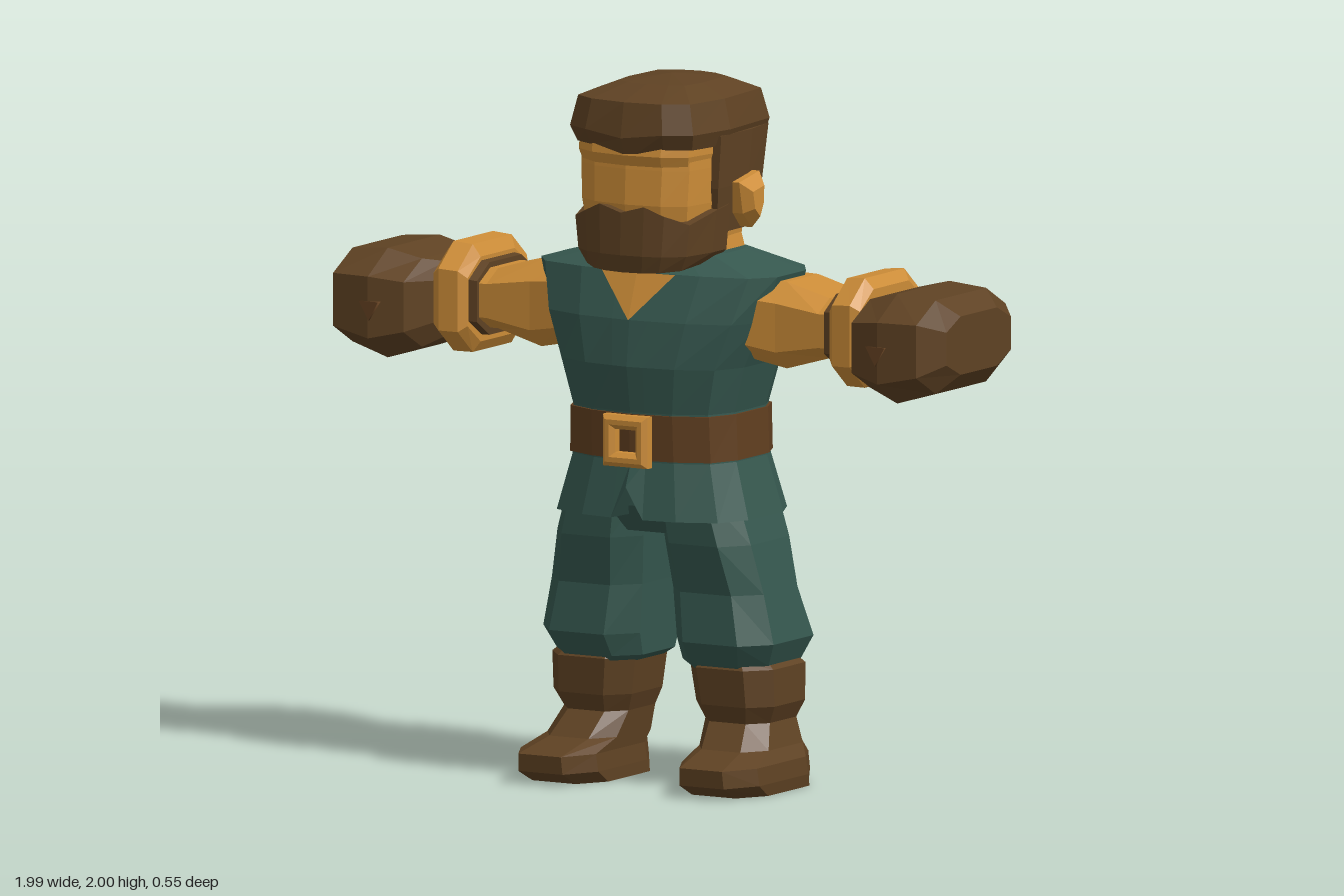
import * as THREE from 'three';

const mat = (name, color) => Object.assign(new THREE.MeshStandardMaterial({ color }), { name });

// Closed faceted solid through a list of rings (equal point counts); winding is fixed by signed volume
function loft(rings, endLift = 0) {
  const tris = [], n = rings[0].length;
  for (let i = 0; i + 1 < rings.length; i++) {
    for (let j = 0; j < n; j++) {
      const k = (j + 1) % n, a = rings[i][j], b = rings[i][k], c = rings[i + 1][k], d = rings[i + 1][j];
      tris.push([a, b, c], [a, c, d]);
    }
  }
  const mid = r => r.reduce((s, p) => s.add(p), new THREE.Vector3()).divideScalar(n);
  const first = rings[0], last = rings[rings.length - 1], m0 = mid(first), m1 = mid(last);
  m1.y += endLift;
  for (let j = 0; j < n; j++) {
    const k = (j + 1) % n;
    tris.push([m0, first[k], first[j]], [m1, last[j], last[k]]);
  }
  const volume = tris.reduce((v, [a, b, c]) => v + a.dot(b.clone().cross(c)), 0);
  if (volume < 0) tris.forEach(t => t.reverse());
  const g = new THREE.BufferGeometry().setFromPoints(tris.flat());
  g.computeVertexNormals();
  return g;
}

const V = (x, y, z) => new THREE.Vector3(x, y, z);

// Left-right symmetric horizontal ring from a half outline of [x, z] fractions
function sym(half, y, rx, zf, zb) {
  const side = s => half.map(([x, z]) => V(s * x * rx, y, z >= 0 ? z * zf : -z * zb));
  return [...side(1), ...side(-1).slice(1, -1).reverse()];
}

// Squarish n-sided ring of [u, v] filling a rectangle
function oval(n, u0, u1, v0, v1, p = 0.65) {
  const pw = c => Math.sign(c) * Math.abs(c) ** p;
  return Array.from({ length: n }, (_, i) => {
    const a = ((i + 0.5) / n) * Math.PI * 2;
    const m = Math.cos(Math.PI / n) ** p;
    return [(u0 + u1) / 2 + (pw(Math.cos(a)) / m) * (u1 - u0) / 2,
      (v0 + v1) / 2 + (pw(Math.sin(a)) / m) * (v1 - v0) / 2];
  });
}
// Rows are [y, x0, x1, z0, z1] for upright parts and [x, y0, y1, z0, z1] for arm parts
const upright = (rows, s = 1, n = 8) =>
  loft(rows.map(([y, ...r]) => oval(n, ...r).map(([x, z]) => V(s * x, y, z))));
const sideways = (rows, s = 1, n = 8) =>
  loft(rows.map(([x, ...r]) => oval(n, ...r).map(([y, z]) => V(s * x, y, z))));

export function createModel() {
  const skin = mat('skin', 0xcd8d38), cloth = mat('cloth', 0x36584f);
  const hair = mat('hairAndLeather', 0x5f4223), strap = mat('belt', 0x613f20);
  const model = new THREE.Group();
  const add = (name, geometry, material, parent = model) => {
    const mesh = new THREE.Mesh(geometry, material);
    mesh.name = name;
    parent.add(mesh);
    return mesh;
  };

  // Tunic, with a notch in the front hem
  const body = [[0, 1], [0.17, 0.98], [0.5, 0.93], [0.86, 0.74], [1, 0.35], [1, -0.4], [0.86, -0.75], [0.5, -0.95], [0, -1]];
  const tunic = [
    [0.77, 0.305, 0.245, -0.26], [0.93, 0.26, 0.215, -0.225], [1.07, 0.255, 0.22, -0.225], [1.2, 0.29, 0.24, -0.25],
    [1.33, 0.345, 0.225, -0.27], [1.46, 0.385, 0.175, -0.235], [1.51, 0.2, 0.09, -0.17],
  ].map(r => sym(body, ...r));
  tunic[0][0].y = 0.86;
  add('tunic', loft(tunic), cloth);
  add('belt', loft([[0.935, 0.266, 0.222, -0.232], [1.065, 0.262, 0.227, -0.232]].map(r => sym(body, ...r))), strap);

  // Open neckline following the chest
  const neckline = new THREE.BufferGeometry().setFromPoints([
    V(0, 1.33, 0.232), V(0.12, 1.46, 0.176), V(0, 1.46, 0.184),
    V(0, 1.33, 0.232), V(0, 1.46, 0.184), V(-0.12, 1.46, 0.176)]);
  neckline.computeVertexNormals();
  add('neckline', neckline, skin);

  // Square buckle frame
  const square = (C, r) => new C([[-r, -r], [r, -r], [r, r], [-r, r]].map(p => new THREE.Vector2(...p)));
  const frame = square(THREE.Shape, 0.06);
  frame.holes.push(square(THREE.Path, 0.046));
  add('buckle', new THREE.ExtrudeGeometry(frame, {
    depth: 0.025, bevelEnabled: true, bevelSize: 0.013, bevelThickness: 0.013, bevelSegments: 1,
  }), skin).position.set(0, 0.99, 0.222);

  // Neck and face
  add('neck', upright([[1.38, -0.17, 0.17, -0.19, 0.17], [1.5, -0.17, 0.17, -0.2, 0.15], [1.6, -0.15, 0.15, -0.18, 0.14]]), skin);
  const skull = [[0, 1], [0.55, 0.94], [0.88, 0.78], [1, 0.2], [0.92, -0.74], [0.48, -0.93], [0, -1]];
  add('face', loft([
    [1.55, 0.18, 0.23, -0.15], [1.66, 0.195, 0.25, -0.15], [1.76, 0.2, 0.245, -0.15], [1.88, 0.2, 0.235, -0.15],
  ].map(r => sym(skull, ...r))), skin);
  // Brow ridge under the fringe
  add('brow', loft([[1.77, 0.195, 0.246, -0.1], [1.8, 0.203, 0.258, -0.1], [1.84, 0.203, 0.25, -0.1]]
    .map(r => sym(skull, ...r))), skin);

  // Hair: cap with a fringe, then the back and sides
  const cap = [
    [1.82, 0.212, 0.25, -0.245], [1.865, 0.228, 0.272, -0.255], [1.95, 0.207, 0.255, -0.235], [1.985, 0.12, 0.13, -0.16],
  ].map(r => sym(skull, ...r));
  cap[0][0].y = 1.78;
  cap[1][0].y = 1.85;
  add('hairCap', loft(cap, 0.015), hair);
  const backHair = [[0, 1], [0.7, 1], [1, 0.95], [1, -0.3], [0.92, -0.76], [0.48, -0.93], [0, -1]];
  add('backHair', loft([[1.57, 0.196, 0.08, -0.205], [1.7, 0.212, 0.1, -0.228], [1.85, 0.222, 0.1, -0.252]]
    .map(r => sym(backHair, ...r))), hair);

  // Beard, its top edge waved into a moustache
  const jaw = [[0, 1], [0.35, 0.98], [0.62, 0.92], [0.9, 0.76], [1, 0.35], [1, 0.08], [0, 0.08]];
  const beard = [[1.47, 0.17, 0.262, 0], [1.52, 0.195, 0.275, 0], [1.62, 0.207, 0.272, 0]].map(r => sym(jaw, ...r));
  const wave = [0.02, 0.04, 0.015, -0.01, 0.02, 0.03, 0.03];
  beard[2].forEach((p, i) => { p.y += wave[Math.min(i, 12 - i)]; });
  beard[0].forEach(p => { p.y += 0.03 * (1 - p.z / 0.262); });
  add('beard', loft(beard), hair);

  // Hips joining the trouser legs
  add('hips', upright([[0.72, -0.12, 0.12, -0.17, 0.13], [0.8, -0.26, 0.26, -0.21, 0.19], [0.94, -0.24, 0.24, -0.2, 0.19]]), cloth);

  for (const s of [1, -1]) {
    const side = s > 0 ? 'left' : 'right';
    const limb = (name, geometry, material) => add(side + name, geometry, material);

    // Ear
    const ear = [[1.73, -0.09], [1.71, 0.02], [1.62, 0.0], [1.575, -0.05], [1.64, -0.085]];
    limb('Ear', loft([[0.18, 1], [0.235, 1], [0.265, 0.55]].map(([x, k]) =>
      ear.map(([y, z]) => V(s * x, 1.65 + (y - 1.65) * k, -0.04 + (z + 0.04) * k)))), skin);

    // Bare arm, strap and cuff
    limb('Arm', sideways([
      [0.3, 1.22, 1.45, -0.19, 0.11], [0.4, 1.2, 1.445, -0.2, 0.1], [0.54, 1.24, 1.41, -0.19, 0.1],
      [0.62, 1.24, 1.41, -0.18, 0.1], [0.74, 1.22, 1.42, -0.18, 0.11]], s), skin);
    limb('Strap', sideways([[0.565, 1.22, 1.425, -0.2, 0.11], [0.6, 1.22, 1.43, -0.205, 0.115]], s), hair);
    limb('Cuff', sideways([
      [0.59, 1.2, 1.44, -0.21, 0.12], [0.61, 1.17, 1.475, -0.235, 0.14],
      [0.67, 1.17, 1.48, -0.235, 0.145], [0.695, 1.2, 1.45, -0.21, 0.13]], s), skin);

    // Gloved fist
    limb('Fist', sideways([
      [0.695, 1.21, 1.42, -0.2, 0.13], [0.73, 1.185, 1.435, -0.23, 0.235], [0.83, 1.15, 1.46, -0.24, 0.262],
      [0.95, 1.185, 1.45, -0.235, 0.25], [0.995, 1.235, 1.4, -0.19, 0.16]], s), hair);
    const hollow = limb('FistHollow', new THREE.CylinderGeometry(0.036, 0.036, 0.02, 3), strap);
    hollow.rotation.x = Math.PI / 2;
    hollow.position.set(s * 0.825, 1.305, 0.257);

    // Trouser leg, gathered at the knee
    limb('TrouserLeg', upright([
      [0.33, 0.1, 0.32, -0.17, 0.09], [0.355, 0.065, 0.345, -0.2, 0.11], [0.42, 0.06, 0.375, -0.235, 0.15],
      [0.56, 0.05, 0.345, -0.185, 0.14], [0.7, 0.035, 0.315, -0.2, 0.17], [0.85, 0.02, 0.27, -0.2, 0.18]], s), cloth);

    // Boot with a wide cuff and a toe turned up slightly
    limb('Boot', upright([
      [0, 0.135, 0.385, -0.2, 0.2], [0.035, 0.135, 0.39, -0.2, 0.27], [0.085, 0.14, 0.385, -0.195, 0.275],
      [0.12, 0.135, 0.36, -0.19, 0.14], [0.19, 0.125, 0.335, -0.18, 0.075], [0.24, 0.105, 0.36, -0.195, 0.1],
      [0.345, 0.09, 0.36, -0.2, 0.11], [0.37, 0.11, 0.33, -0.18, 0.09]], s), hair);
  }
  return model;
}
